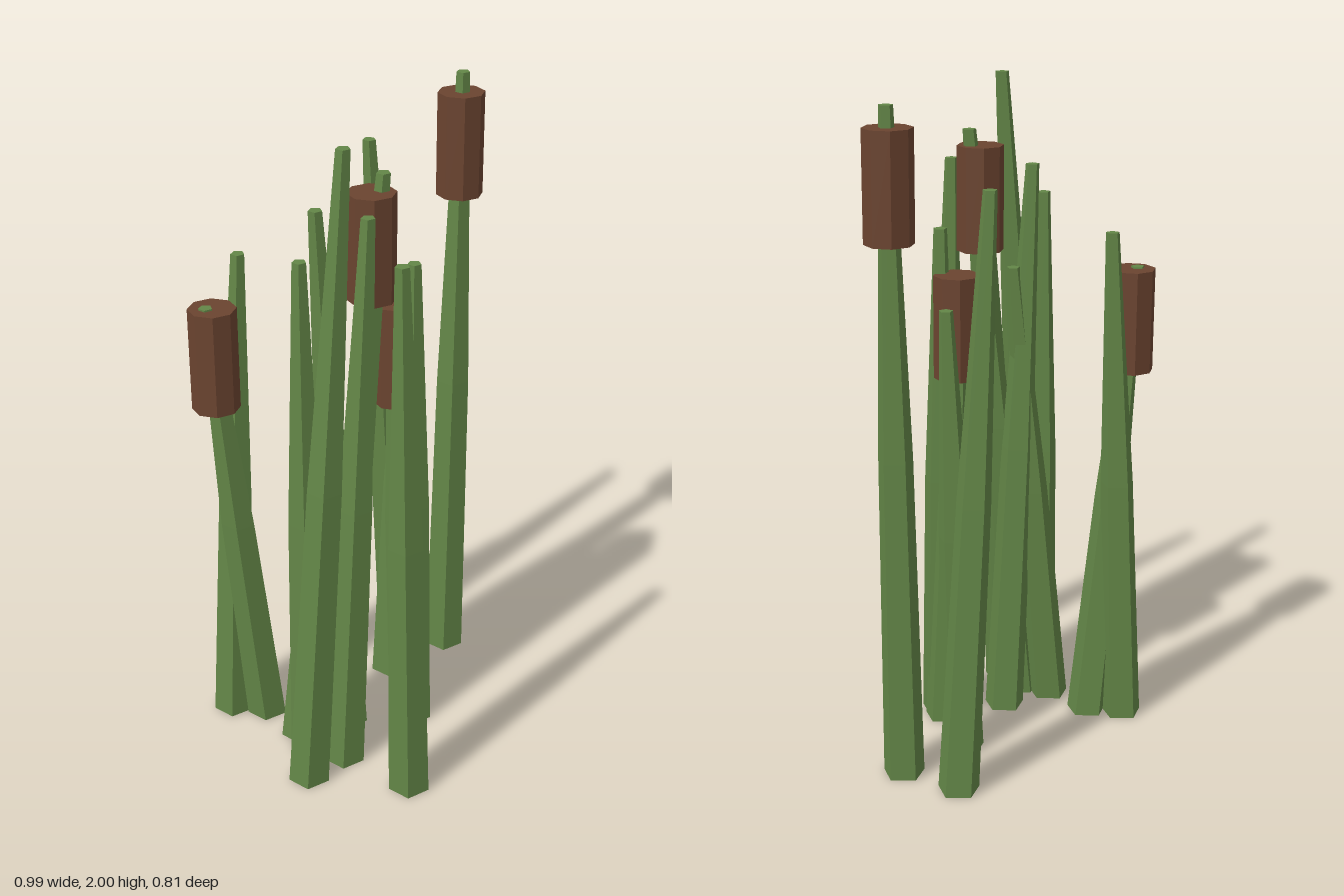
import * as THREE from 'three';

// Each reed: base x, z, then tip x, y, z
const REEDS = [
  [-0.287, 0.343, -0.32, 1.72, 0.33],
  [0.40, -0.035, 0.425, 2.0, -0.025],
  [0.38, -0.226, 0.287, 1.78, -0.267],
  [0.166, -0.083, 0.215, 1.40, -0.06],
  [0.038, 0.09, -0.015, 1.43, 0.065],
  [0.003, 0.13, -0.005, 1.575, 0.13],
  [-0.265, 0.015, -0.095, 1.86, 0.09],
  [-0.137, -0.018, -0.22, 1.755, -0.05],
  [-0.29, -0.085, -0.16, 1.45, -0.025],
  [-0.443, 0.078, -0.327, 2.0, 0.14],
  [-0.30, 0.10, -0.225, 1.78, 0.14],
  [-0.325, -0.015, -0.335, 1.65, -0.012],
  [-0.268, -0.25, -0.394, 1.45, -0.317],
  [-0.32, -0.348, -0.26, 1.575, -0.31],
];

// Each seed head: x, z, bottom y
const HEADS = [
  [0.421, -0.027, 1.625],
  [-0.129, 0.075, 1.495],
  [-0.007, 0.07, 1.127],
  [-0.376, -0.309, 1.13],
];

const BASE_Y = 0.005;
const HEAD_HEIGHT = 0.315;

// Five-sided stalk: gentle taper to mid-height, then a stronger taper, leaning to its tip
function reedGeometry([bx, bz, tx, ty, tz]) {
  const geo = new THREE.CylinderGeometry(1, 1, 1, 5, 2, false, Math.PI / 2);
  const p = geo.attributes.position;
  for (let i = 0; i < p.count; i++) {
    const t = p.getY(i) + 0.5;
    const r = t < 0.25 ? 0.0635 : t < 0.75 ? 0.052 : 0.021;
    p.setXYZ(
      i,
      bx + (tx - bx) * t + p.getX(i) * r,
      BASE_Y + (ty - BASE_Y) * t,
      bz + (tz - bz) * t + p.getZ(i) * r,
    );
  }
  geo.computeVertexNormals();
  return geo;
}

export function createModel() {
  const model = new THREE.Group();
  model.name = 'reeds';

  const green = new THREE.MeshStandardMaterial({ color: 0x638647, flatShading: true });
  green.name = 'reed green';
  const brown = new THREE.MeshStandardMaterial({ color: 0x6b4430, flatShading: true });
  brown.name = 'seed head brown';

  // Stalks
  REEDS.forEach((reed, i) => {
    const mesh = new THREE.Mesh(reedGeometry(reed), green);
    mesh.name = `stalk${i + 1}`;
    model.add(mesh);
  });

  // Upright eight-sided seed heads
  const headGeo = new THREE.CylinderGeometry(0.071, 0.071, HEAD_HEIGHT, 8);
  HEADS.forEach(([x, z, y], i) => {
    const mesh = new THREE.Mesh(headGeo, brown);
    mesh.name = `seedHead${i + 1}`;
    mesh.position.set(x, y + HEAD_HEIGHT / 2, z);
    model.add(mesh);
  });

  return model;
}
